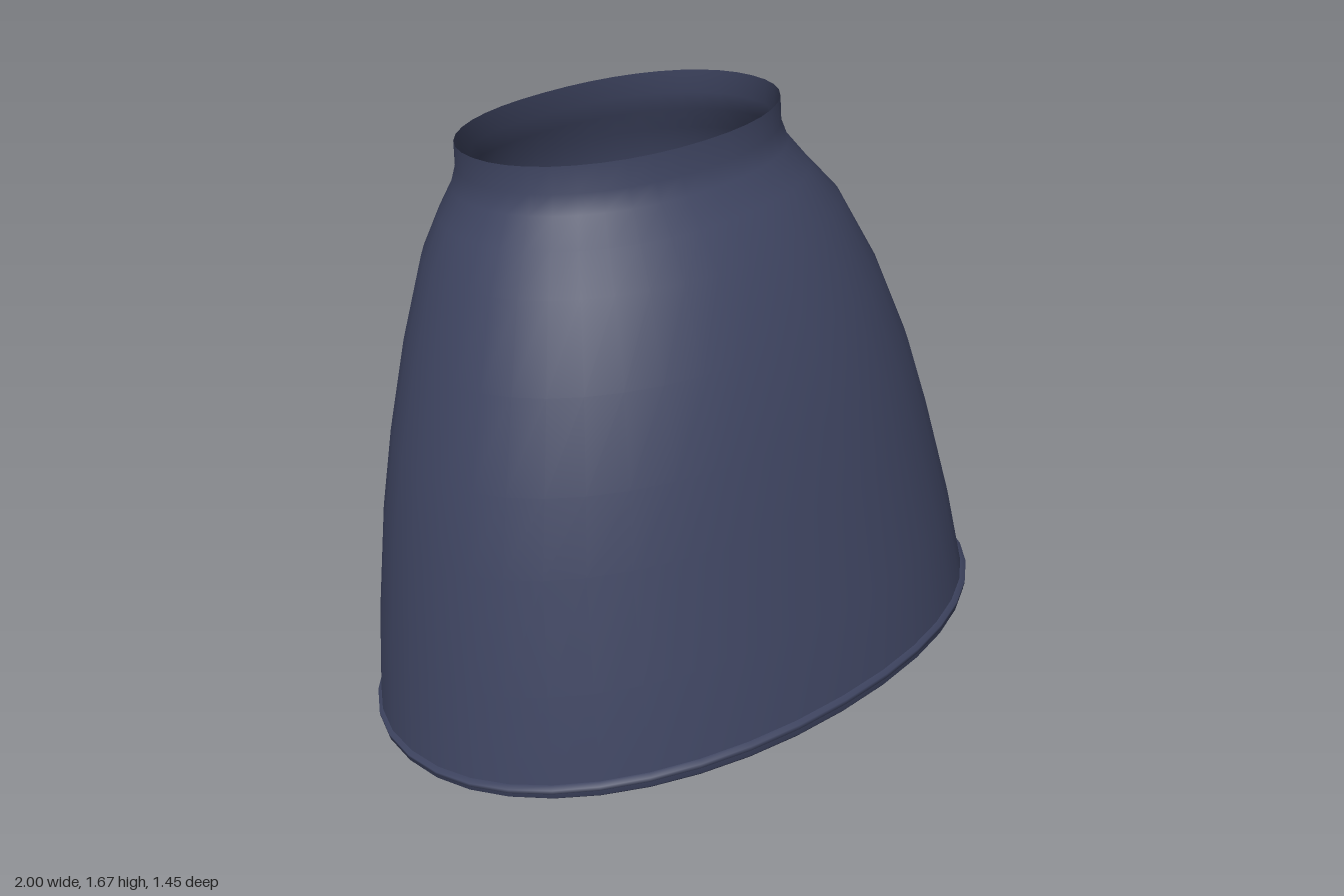
import * as THREE from 'three';

const SIDES = 40;

// Each ring: [front y, back y, front z, back z, half width]
const HEM = [
  [0.150, 0.000, 0.715, -0.705, 0.985],
  [0.165, 0.007, 0.725, -0.707, 0.997],
  [0.180, 0.012, 0.720, -0.707, 0.993],
  [0.184, 0.015, 0.727, -0.708, 1.000],
  [0.200, 0.020, 0.728, -0.710, 1.000],
  [0.204, 0.023, 0.712, -0.710, 0.985],
];
const BODY = [
  HEM[HEM.length - 1],
  [0.45, 0.27, 0.650, -0.720, 0.945],
  [0.75, 0.60, 0.555, -0.717, 0.880],
  [0.95, 0.83, 0.495, -0.715, 0.820],
  [1.18, 1.08, 0.400, -0.708, 0.735],
  [1.39, 1.30, 0.280, -0.697, 0.635],
  [1.48, 1.40, 0.190, -0.680, 0.560],
];
const WAIST = [
  BODY[BODY.length - 1],
  [1.55, 1.47, 0.125, -0.655, 0.508],
  [1.60, 1.53, 0.100, -0.640, 0.490],
  [1.675, 1.60, 0.090, -0.635, 0.490],
];

// Slightly squared oval, tilted so the front edge sits higher than the back
function ringPoint([yf, yb, zf, zb, w], j) {
  const a = (j / SIDES) * Math.PI * 2;
  const soft = (v) => Math.sign(v) * Math.abs(v) ** 0.95;
  const s = (soft(Math.cos(a)) + 1) / 2;
  const up = Math.min(yf / 1.6, 1);
  const bend = 1.8 - 0.9 * up; // the hem curves up towards the front, the waist is straight
  return [w * soft(Math.sin(a)) + 0.01 * up * up, yb + (yf - yb) * s ** bend, zb + (zf - zb) * s];
}

function loft(rings) {
  const pos = [], index = [];
  rings.forEach((ring, i) => {
    for (let j = 0; j < SIDES; j++) {
      pos.push(...ringPoint(ring, j));
      if (i === 0) continue;
      const k = (j + 1) % SIDES;
      const a = (i - 1) * SIDES + j, b = (i - 1) * SIDES + k;
      index.push(a, b, b + SIDES, a, b + SIDES, a + SIDES);
    }
  });
  const g = new THREE.BufferGeometry();
  g.setAttribute('position', new THREE.Float32BufferAttribute(pos, 3));
  g.setIndex(index);
  g.computeVertexNormals();
  return g;
}

export function createModel() {
  const group = new THREE.Group();
  group.name = 'skirt';
  const navyCloth = new THREE.MeshStandardMaterial({ color: 0x3d435f, side: THREE.DoubleSide });
  navyCloth.name = 'navy cloth';

  const add = (name, geometry) => {
    const mesh = new THREE.Mesh(geometry, navyCloth);
    mesh.name = name;
    group.add(mesh);
  };

  // Raised hem with a stitched groove
  add('hem', loft(HEM));

  // Body and waistband share one smooth surface
  add('skirtBody', loft([...BODY, ...WAIST.slice(1)]));

  return group;
}
